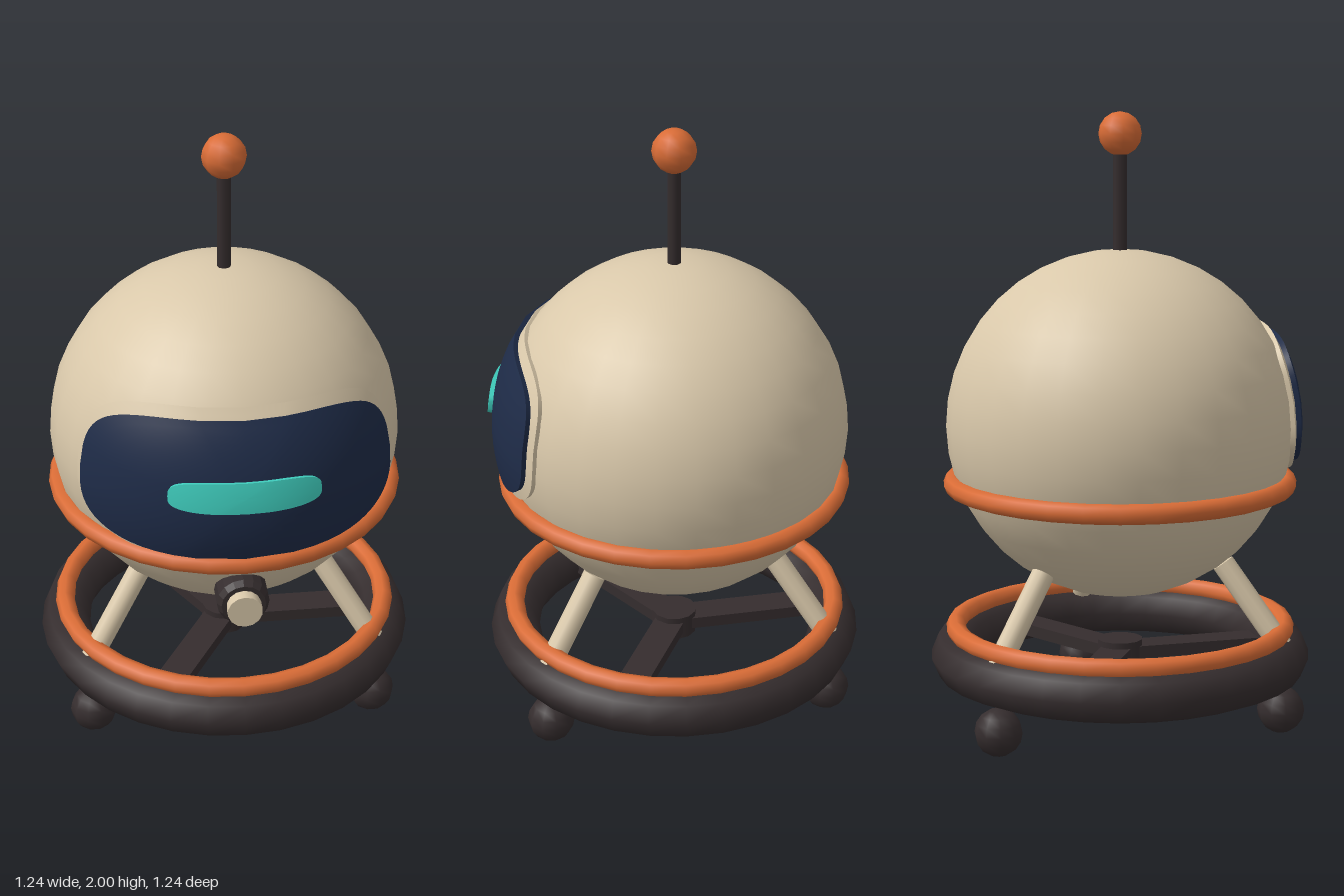
import * as THREE from 'three';

const mat = (name, color, side = THREE.FrontSide) => {
  const m = new THREE.MeshStandardMaterial({ color, side });
  m.name = name;
  return m;
};

const BODY_Y = 1.0;
const DEG = Math.PI / 180;

// Raised plate wrapped on the body sphere: a superellipse in longitude and latitude with a side wall.
function shellPlate(halfLon, midLat, halfLat, outer, inner) {
  const n = 64, rings = 10, power = 2 / 3.6;
  const pos = [], index = [];
  const curve = v => Math.sign(v) * Math.abs(v) ** power;
  const addRing = (s, r) => {
    for (let i = 0; i < n; i++) {
      const t = (i / n) * Math.PI * 2;
      const lon = halfLon * s * curve(Math.cos(t)) * DEG;
      const lat = (midLat + halfLat * s * curve(Math.sin(t))) * DEG;
      pos.push(
        r * Math.cos(lat) * Math.sin(lon),
        BODY_Y + r * Math.sin(lat),
        r * Math.cos(lat) * Math.cos(lon)
      );
    }
  };
  const join = (a, b) => {
    for (let i = 0; i < n; i++) {
      const j = (i + 1) % n;
      index.push(a * n + i, b * n + i, b * n + j, a * n + i, b * n + j, a * n + j);
    }
  };
  for (let k = 0; k <= rings; k++) {
    addRing(k / rings, outer);
    if (k) join(k - 1, k);
  }
  addRing(1, outer);
  addRing(1, inner);
  join(rings + 1, rings + 2);
  const g = new THREE.BufferGeometry();
  g.setAttribute('position', new THREE.Float32BufferAttribute(pos, 3));
  g.setIndex(index);
  g.computeVertexNormals();
  return g;
}

export function createModel() {
  const cream = mat('cream shell', 0xd9c8aa);
  const orange = mat('orange trim', 0xd96c36);
  const dark = mat('dark rubber', 0x352d2e);
  const navy = mat('navy visor', 0x1e2b47);
  const teal = mat('teal light', 0x40d0c0);

  const model = new THREE.Group();
  model.name = 'robot';
  const add = (name, geometry, material, x = 0, y = 0, z = 0) => {
    const mesh = new THREE.Mesh(geometry, material);
    mesh.name = name;
    mesh.position.set(x, y, z);
    model.add(mesh);
    return mesh;
  };
  const addRing = (name, major, tube, material, y) => {
    add(name, new THREE.TorusGeometry(major, tube, 8, 32).rotateX(Math.PI / 2), material, 0, y, 0);
  };
  // Cylinder between two points
  const addRod = (name, a, b, radius, material) => {
    const dir = b.clone().sub(a);
    const rod = add(name, new THREE.CylinderGeometry(radius, radius, dir.length(), 10), material);
    rod.position.copy(a).add(b).multiplyScalar(0.5);
    rod.quaternion.setFromUnitVectors(new THREE.Vector3(0, 1, 0), dir.normalize());
  };

  // Body and belt
  add('body', new THREE.SphereGeometry(0.563, 28, 20), cream, 0, BODY_Y, 0);
  addRing('bodyBelt', 0.543, 0.032, orange, 0.81);

  // Face
  add('visorRim', shellPlate(59, 8.3, 26.2, 0.574, 0.54), cream);
  add('visor', shellPlate(55.5, 7.7, 22.8, 0.59, 0.55), navy);
  add('faceLight', shellPlate(23, 7.7, 4.8, 0.604, 0.58), teal);

  // Front lens: chamfered dark housing with a cream plug
  const housing = [[0, 0], [0.07, 0], [0.083, 0.03], [0.083, 0.105], [0.07, 0.125], [0, 0.125]]
    .map(([r, y]) => new THREE.Vector2(r, y));
  const housingGeo = new THREE.LatheGeometry(housing, 16).rotateX(Math.PI / 2).toNonIndexed();
  housingGeo.computeVertexNormals();
  add('lensHousing', housingGeo, dark, 0, 0.655, 0.42);
  add('lens', new THREE.CylinderGeometry(0.055, 0.055, 0.1, 14).rotateX(Math.PI / 2), cream, 0, 0.655, 0.532);

  // Antenna
  add('antennaStem', new THREE.CylinderGeometry(0.022, 0.022, 0.36, 8), dark, 0, 1.71, 0);
  add('antennaBall', new THREE.SphereGeometry(0.07, 10, 8), orange, 0, 1.93, 0);

  // Base ring
  addRing('baseRing', 0.54, 0.082, dark, 0.24);
  addRing('baseTrim', 0.54, 0.032, orange, 0.33);
  add('hub', new THREE.CylinderGeometry(0.075, 0.075, 0.08, 12), dark, 0, 0.24, 0);

  // Three legs with wheels, and three spokes set between them
  for (let i = 0; i < 3; i++) {
    const a = Math.PI / 6 + (i * Math.PI * 2) / 3;
    const at = (r, y) => new THREE.Vector3(r * Math.cos(a), y, r * Math.sin(a));
    addRod('leg', at(0.345, 0.555), at(0.54, 0.29), 0.037, cream);
    const w = at(0.54, 0.08);
    add('wheel', new THREE.SphereGeometry(0.077, 10, 8), dark, w.x, w.y, w.z);

    const spoke = add('spoke', new THREE.BoxGeometry(0.48, 0.04, 0.1).translate(0.27, 0, 0), dark, 0, 0.24, 0);
    spoke.rotation.y = (i * Math.PI * 2) / 3;
  }
  return model;
}
